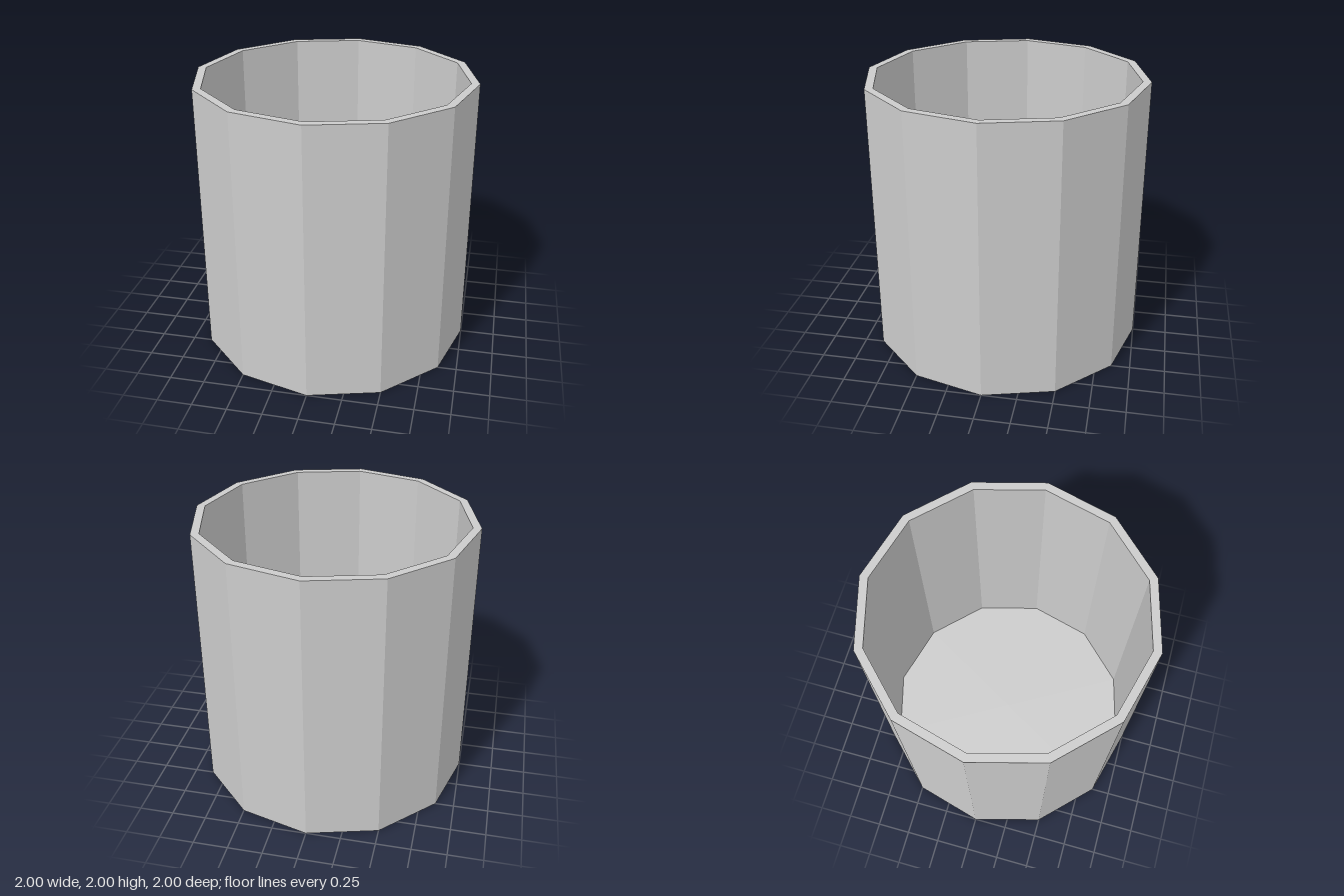
import * as THREE from 'three';

const SIDES = 12;
const RADIUS = 1;
const HEIGHT = 2;
const WALL = 0.06;

export function createModel() {
  const group = new THREE.Group();
  group.name = 'openContainer';

  // Closed profile: underside, outer wall, rim, inner wall, inside floor
  const inner = RADIUS - WALL;
  const profile = [
    [0, 0], [RADIUS, 0], [RADIUS, HEIGHT],
    [inner, HEIGHT], [inner, WALL], [0, WALL],
  ].map(([r, y]) => new THREE.Vector2(r, y));

  const material = new THREE.MeshStandardMaterial({ color: 0xcccccc, flatShading: true });
  const cup = new THREE.Mesh(new THREE.LatheGeometry(profile, SIDES), material);
  cup.name = 'cup';
  group.add(cup);

  return group;
}
